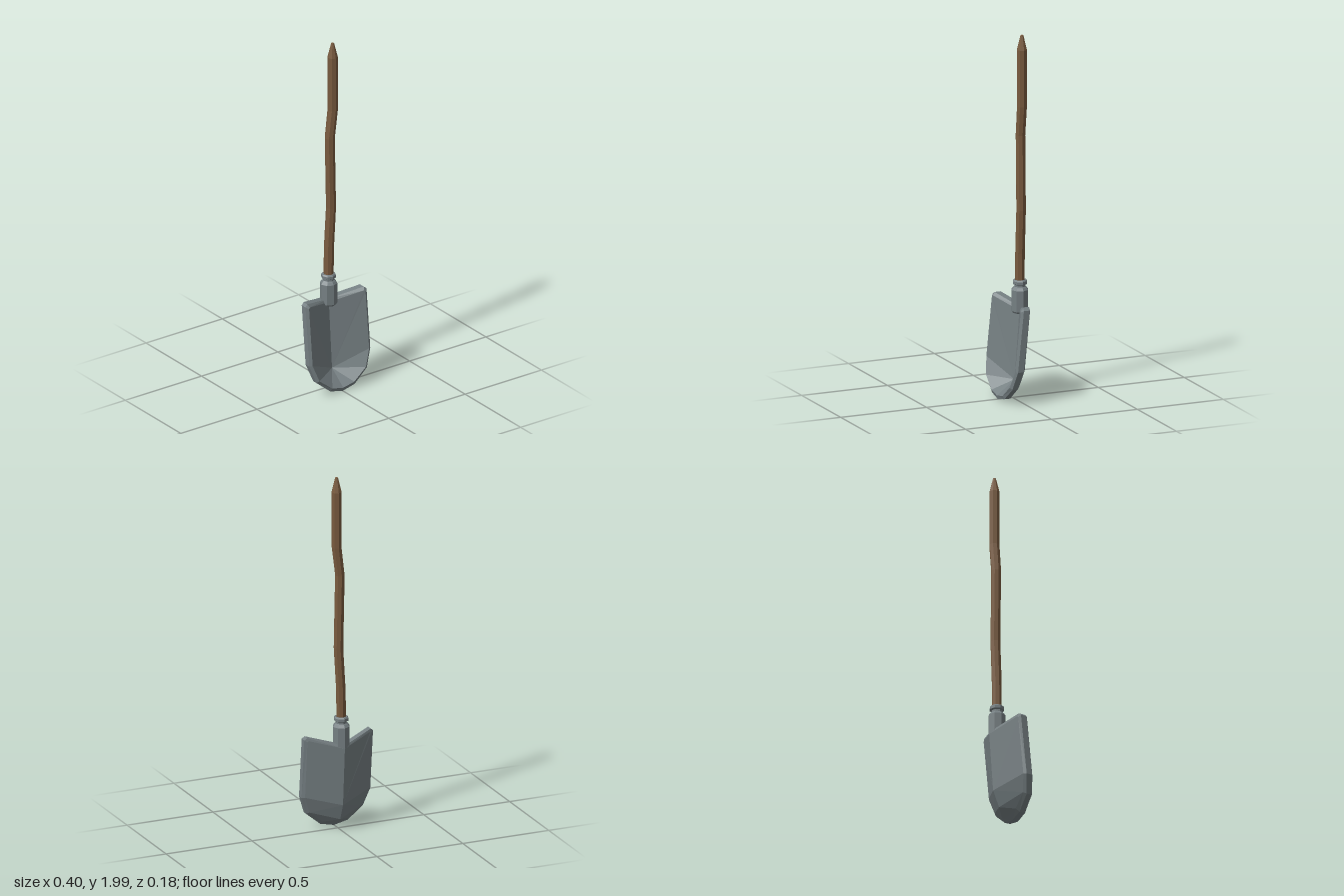
import * as THREE from 'three';

const metal = new THREE.MeshStandardMaterial({ color: 0x757f82 });
metal.name = 'steel';
const wood = new THREE.MeshStandardMaterial({ color: 0x785a3e });
wood.name = 'wood';

const AXIS_Z = -0.043;

function addMesh(group, name, geometry, material) {
  const flat = geometry.index ? geometry.toNonIndexed() : geometry;
  flat.computeVertexNormals();
  const mesh = new THREE.Mesh(flat, material);
  mesh.name = name;
  group.add(mesh);
  return mesh;
}

// Eight-sided turned part; rows are [radius, y, sideways offset]
function turned(rows) {
  const geo = new THREE.LatheGeometry(rows.map(([r, y]) => new THREE.Vector2(r, y)), 8);
  const pos = geo.attributes.position;
  for (let i = 0; i < pos.count; i++) {
    pos.setX(i, pos.getX(i) + (rows[i % rows.length][2] || 0));
  }
  return geo.translate(0, 0, AXIS_Z);
}

// V-shaped blade with bevelled rim, built as one half and mirrored
function bladeGeometry() {
  const outer = [[0, 0.5], [0.185, 0.548], [0.2, 0.535], [0.2, 0.2], [0.165, 0.1], [0.08, 0.03], [0, 0.012]];
  const inset = [[0, 0.485], [0.178, 0.532], [0.185, 0.525], [0.185, 0.203], [0.152, 0.11], [0.072, 0.047], [0, 0.032]];
  const layer = (outline, zs) => outline.map(([x, y], i) => [x, y, zs[i]]);
  const rings = [
    layer(inset, [-0.09, -0.02, -0.018, 0.013, 0.03, 0.03, 0.025]),
    layer(outer, [-0.085, -0.015, -0.01, 0.025, 0.045, 0.05, 0.05]),
    layer(outer, [-0.05, 0.02, 0.024, 0.058, 0.075, 0.083, 0.085]),
    layer(inset, [-0.04, 0.033, 0.036, 0.068, 0.085, 0.09, 0.09]),
  ];
  const verts = [];
  const tri = (a, b, c) => {
    verts.push(...a, ...b, ...c);
    for (const p of [a, c, b]) verts.push(-p[0], p[1], p[2]);
  };
  const [back, , , front] = rings;
  const last = outer.length - 1;

  // Rim and its bevels
  for (let k = 0; k < 3; k++) {
    for (let i = 0; i < last; i++) {
      const [a, b, c, d] = [rings[k][i], rings[k + 1][i], rings[k + 1][i + 1], rings[k][i + 1]];
      tri(a, b, c);
      tri(a, c, d);
    }
  }
  // Hollow front, fanned from the crease
  const frontSpine = [0, 0.11, -0.012];
  for (let i = 0; i < last; i++) tri(frontSpine, front[i + 1], front[i]);

  // Ridged back, curling forward at the toe
  const upper = [0, 0.16, -0.066], lower = [0, 0.07, -0.03];
  for (let i = 0; i < last; i++) tri(i < 4 ? upper : lower, back[i], back[i + 1]);
  tri(upper, back[4], lower);

  const geo = new THREE.BufferGeometry();
  geo.setAttribute('position', new THREE.Float32BufferAttribute(verts, 3));
  return geo;
}

export function createModel() {
  const group = new THREE.Group();
  group.name = 'shovel';

  addMesh(group, 'blade', bladeGeometry(), metal);

  // Socket with neck and collar
  addMesh(group, 'socket', turned([
    [0, 0.475], [0.04, 0.475], [0.047, 0.485], [0.047, 0.6], [0.038, 0.612],
    [0.031, 0.618], [0.031, 0.628], [0.04, 0.633], [0.04, 0.648], [0.034, 0.655], [0, 0.655],
  ]), metal);

  // Crooked shaft with tapered tip
  addMesh(group, 'handle', turned([
    [0.027, 0.6, 0], [0.027, 0.8, 0.002], [0.027, 1.04, 0.016], [0.027, 1.45, 0.008],
    [0.028, 1.61, 0.027], [0.028, 1.92, 0.027], [0.008, 2.0, 0.027], [0, 2.0, 0.027],
  ]), wood);

  return group;
}
